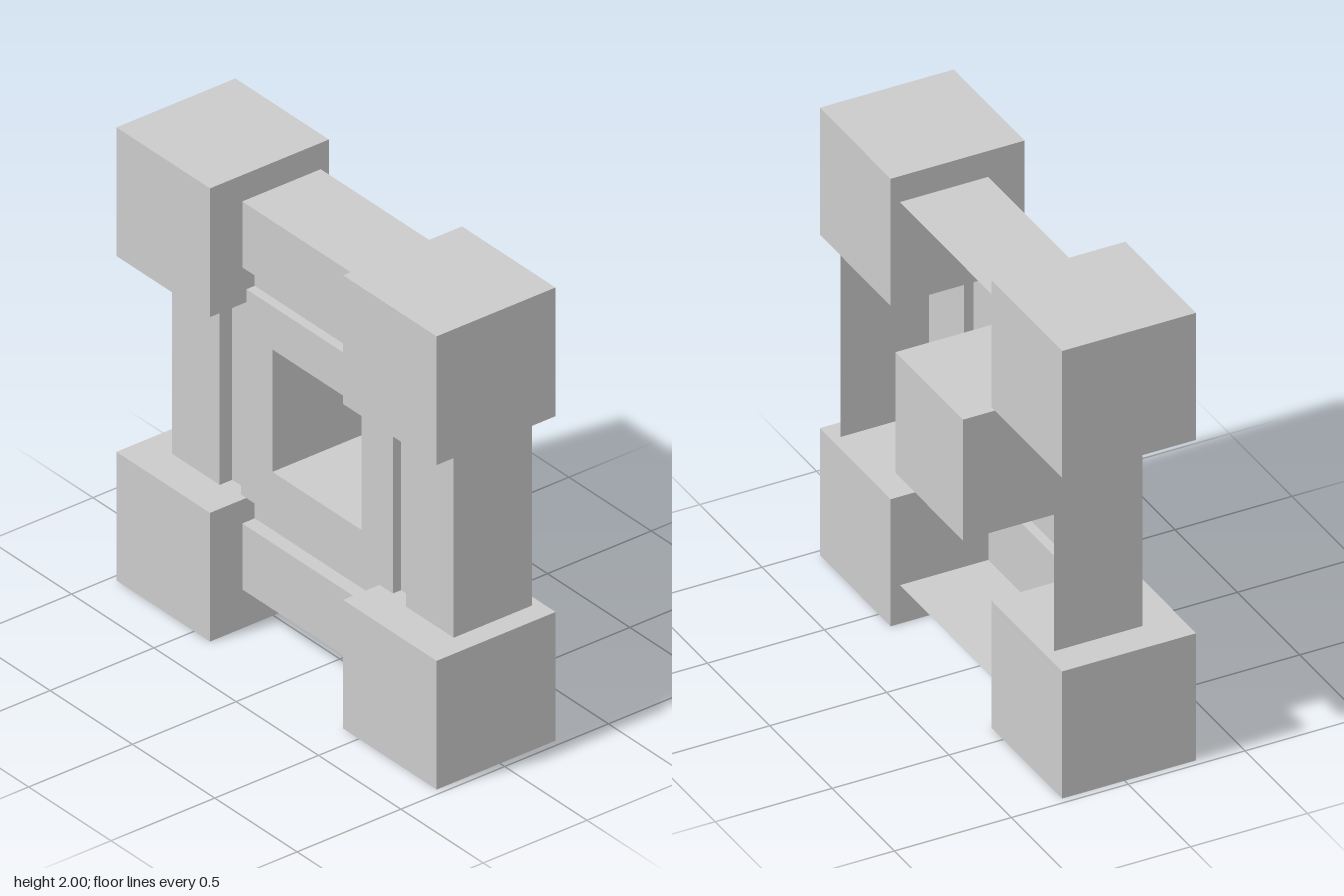
import * as THREE from 'three';

const material = new THREE.MeshStandardMaterial({ color: 0xcccccc, flatShading: true, side: THREE.DoubleSide });

// Square cross-section at depth z, corners counter-clockwise seen from the front.
function square(cx, cy, half, z) {
  return [[-1, -1], [1, -1], [1, 1], [-1, 1]].map(([sx, sy]) => [cx + sx * half, cy + sy * half, z]);
}

// Thin sheet running through a list of square loops; the last one may be capped.
function sheet(name, loops, capped = false) {
  const positions = [];
  const quad = (a, b, c, d) => positions.push(...a, ...b, ...c, ...a, ...c, ...d);
  for (let k = 0; k < loops.length - 1; k++) {
    const a = loops[k], b = loops[k + 1];
    for (let i = 0; i < 4; i++) {
      const j = (i + 1) % 4;
      quad(a[i], a[j], b[j], b[i]);
    }
  }
  if (capped) quad(...loops[loops.length - 1]);
  const geometry = new THREE.BufferGeometry();
  geometry.setAttribute('position', new THREE.Float32BufferAttribute(positions, 3));
  geometry.computeVertexNormals();
  const mesh = new THREE.Mesh(geometry, material);
  mesh.name = name;
  return mesh;
}

export function createModel() {
  const group = new THREE.Group();
  group.name = 'framedPanel';

  const cx = 0.024, cy = 1.028;
  const at = (half, z) => square(cx, cy, half, z);
  const front = 0.15, grooveFloor = 0.09, panelFront = 0.13;

  // Outer frame: side walls open at the back, and the front border
  group.add(sheet('frame', [at(0.856, -0.228), at(0.856, front), at(0.565, front)]));

  // Groove running round the panel
  group.add(sheet('groove', [at(0.565, front), at(0.565, grooveFloor), at(0.461, grooveFloor), at(0.461, panelFront)]));

  // Central panel with a square opening
  group.add(sheet('panel', [at(0.461, panelFront), at(0.27, panelFront)]));

  // Deep pocket, open to the front and closed at the back
  group.add(sheet('pocket', [at(0.27, panelFront), at(0.27, -0.305)], true));

  // Corner cubes
  const size = 0.568;
  const cube = new THREE.BoxGeometry(size, size, size + 0.005);
  for (const sx of [-1, 1]) {
    for (const y of [size / 2, 2 - size / 2]) {
      const mesh = new THREE.Mesh(cube, material);
      mesh.name = (y > 1 ? 'upper' : 'lower') + (sx > 0 ? 'Left' : 'Right') + 'Cube';
      mesh.position.set(sx * 0.688, y, 0.019);
      group.add(mesh);
    }
  }

  return group;
}
